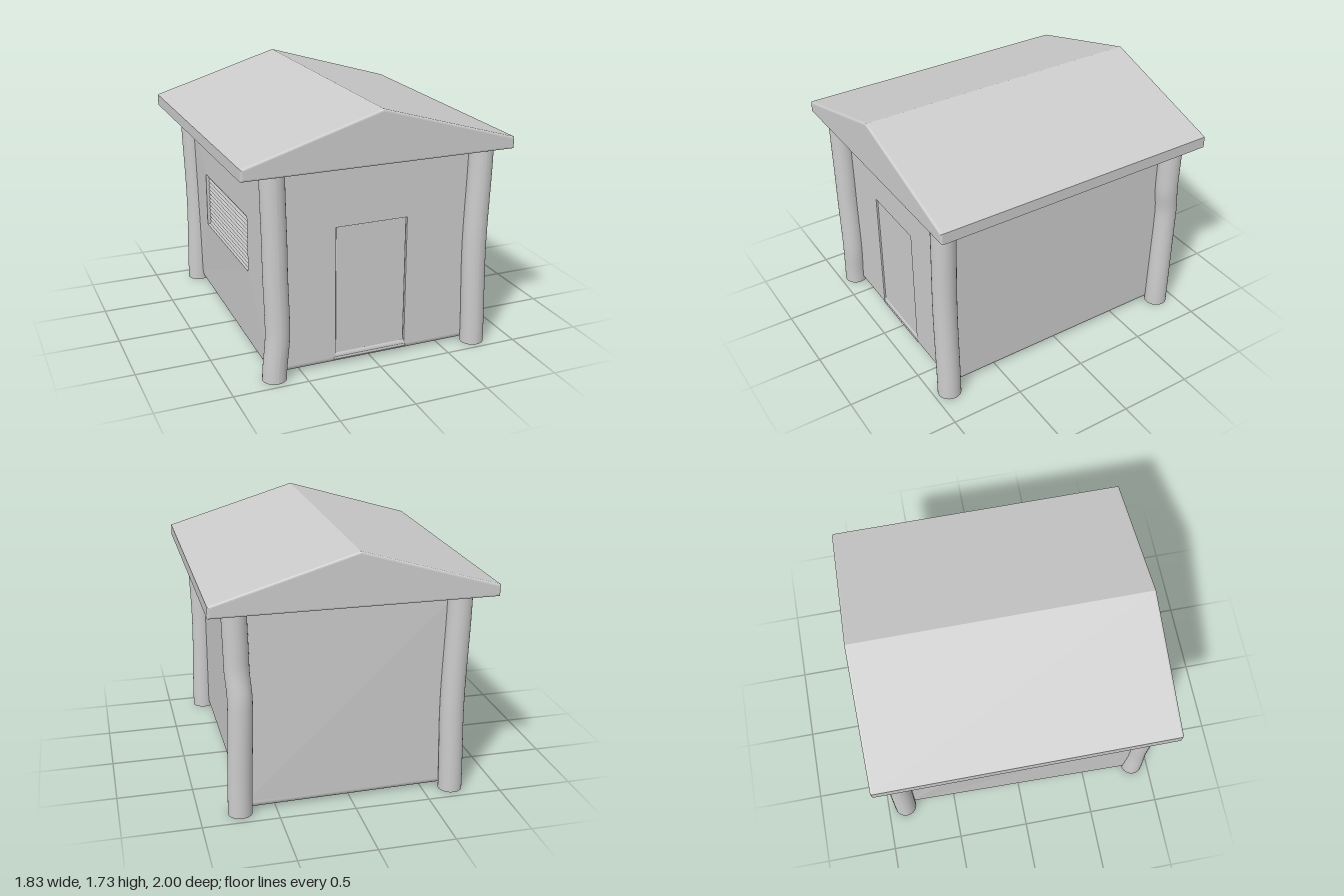
import * as THREE from 'three';
import { RoundedBoxGeometry } from 'three/addons/geometries/RoundedBoxGeometry.js';

const grey = new THREE.MeshStandardMaterial({ color: 0xcccccc });
const WX = 0.705, WZ = 0.86, TOP = 1.39, BASE = 0.055, THICK = 0.05;

function add(parent, name, geometry, x = 0, y = 0, z = 0) {
  const mesh = new THREE.Mesh(geometry, grey);
  mesh.name = name;
  mesh.position.set(x, y, z);
  parent.add(mesh);
  return mesh;
}

function rectPoints(x0, y0, x1, y1) {
  return [[x0, y0], [x1, y0], [x1, y1], [x0, y1]].map(p => new THREE.Vector2(...p));
}

// Pulls the lower back corner on the window side slightly inward
function pullCorner(geometry) {
  const p = geometry.attributes.position;
  for (let i = 0; i < p.count; i++) {
    if (p.getX(i) < -0.6 && p.getZ(i) < -0.75 && p.getY(i) < 0.2) {
      p.setX(i, p.getX(i) + 0.03);
      p.setZ(i, p.getZ(i) + 0.03);
    }
  }
  geometry.computeVertexNormals();
  return geometry;
}

// Wall plate with an optional opening, outer face at the given distance
function wall(parent, name, halfWidth, distance, angle, opening) {
  const shape = new THREE.Shape(rectPoints(-halfWidth, BASE, halfWidth, TOP));
  if (opening) shape.holes.push(new THREE.Path(rectPoints(...opening)));
  const geometry = new THREE.ExtrudeGeometry(shape, { depth: THICK, bevelEnabled: false });
  geometry.translate(0, 0, distance - THICK).rotateY(angle);
  add(parent, name, pullCorner(geometry));
}

// Post whose centre line bends through [y, x, z] points
function post(parent, name, points) {
  const height = 1.38;
  const geometry = new THREE.CylinderGeometry(0.079, 0.079, height, 32, 24);
  geometry.translate(0, height / 2, 0);
  const p = geometry.attributes.position;
  for (let i = 0; i < p.count; i++) {
    const y = p.getY(i);
    let k = 0;
    while (k < points.length - 2 && y > points[k + 1][0]) k++;
    const [a, b] = [points[k], points[k + 1]];
    const t = THREE.MathUtils.smoothstep(y, a[0], b[0]);
    p.setX(i, p.getX(i) + THREE.MathUtils.lerp(a[1], b[1], t));
    p.setZ(i, p.getZ(i) + THREE.MathUtils.lerp(a[2], b[2], t));
  }
  geometry.computeVertexNormals();
  add(parent, name, geometry);
}

export function createModel() {
  const hut = new THREE.Group();
  hut.name = 'hut';

  // Gable roof with softened edges
  const profile = [[-0.915, 1.375], [0.915, 1.375], [0.915, 1.452], [-0.01, 1.725], [-0.915, 1.452]];
  const bevel = 0.014;
  const roof = new THREE.ExtrudeGeometry(new THREE.Shape(profile.map(p => new THREE.Vector2(...p))), {
    depth: 2 - 2 * bevel, bevelSize: bevel, bevelThickness: bevel, bevelOffset: -bevel, bevelSegments: 3,
  });
  add(hut, 'roof', roof, 0, 0, -1 + bevel);

  // Walls and rounded floor slab
  const walls = new THREE.Group();
  walls.name = 'walls';
  hut.add(walls);
  const door = [-0.26, 0.055, 0.237, 0.957];
  const win = [-0.5, 0.565, 0.44, 0.95];
  wall(walls, 'frontWall', WX, WZ, 0, [door[0], door[1] + 0.001, door[2], door[3]]);
  wall(walls, 'backWall', WX, WZ, Math.PI);
  wall(walls, 'leftWall', WZ, WX, Math.PI / 2);
  wall(walls, 'rightWall', WZ, WX, -Math.PI / 2, win);
  const slab = new RoundedBoxGeometry(2 * WX, 0.09, 2 * WZ, 4, 0.044);
  slab.translate(0, 0.055, 0);
  const normals = slab.attributes.normal.clone();
  pullCorner(slab).setAttribute('normal', normals);
  add(walls, 'floorSlab', slab);

  // Door panel set in the front wall, with a small sill
  const dw = door[2] - door[0], dx = (door[0] + door[2]) / 2;
  const panel = new RoundedBoxGeometry(dw - 0.008, door[3] - door[1] - 0.004, 0.03, 2, 0.005);
  add(hut, 'door', panel, dx, (door[1] + door[3]) / 2, WZ - 0.023);
  add(hut, 'doorSill', new RoundedBoxGeometry(dw + 0.02, 0.02, 0.03, 2, 0.006), dx, 0.045, WZ - 0.012);

  // Louvred window in the right wall
  const louvres = new THREE.Group();
  louvres.name = 'louvredWindow';
  hut.add(louvres);
  const ww = win[2] - win[0], wz = (win[0] + win[2]) / 2, wh = win[3] - win[1];
  add(louvres, 'windowBack', new THREE.BoxGeometry(0.01, wh + 0.02, ww + 0.02), -WX + 0.05, (win[1] + win[3]) / 2, wz);
  const count = 13, pitch = wh / count;
  for (let i = 0; i < count; i++) {
    const slat = add(louvres, 'slat', new THREE.BoxGeometry(0.008, pitch * 1.15, ww),
      -WX + 0.03, win[1] + (i + 0.5) * pitch, wz);
    slat.rotation.z = -0.5;
  }

  // Four slightly crooked corner posts
  const posts = new THREE.Group();
  posts.name = 'posts';
  hut.add(posts);
  post(posts, 'frontRightPost', [[0, -0.69, 0.885], [0.33, -0.667, 0.89], [0.8, -0.678, 0.89], [1.38, -0.688, 0.89]]);
  post(posts, 'frontLeftPost', [[0, 0.738, 0.89], [0.7, 0.722, 0.89], [1.38, 0.738, 0.89]]);
  post(posts, 'backLeftPost', [[0, 0.738, -0.875], [0.8, 0.722, -0.893], [1.02, 0.734, -0.868], [1.38, 0.74, -0.866]]);
  post(posts, 'backRightPost', [[0, -0.69, -0.872], [0.6, -0.68, -0.868], [1.38, -0.697, -0.875]]);
  return hut;
}
